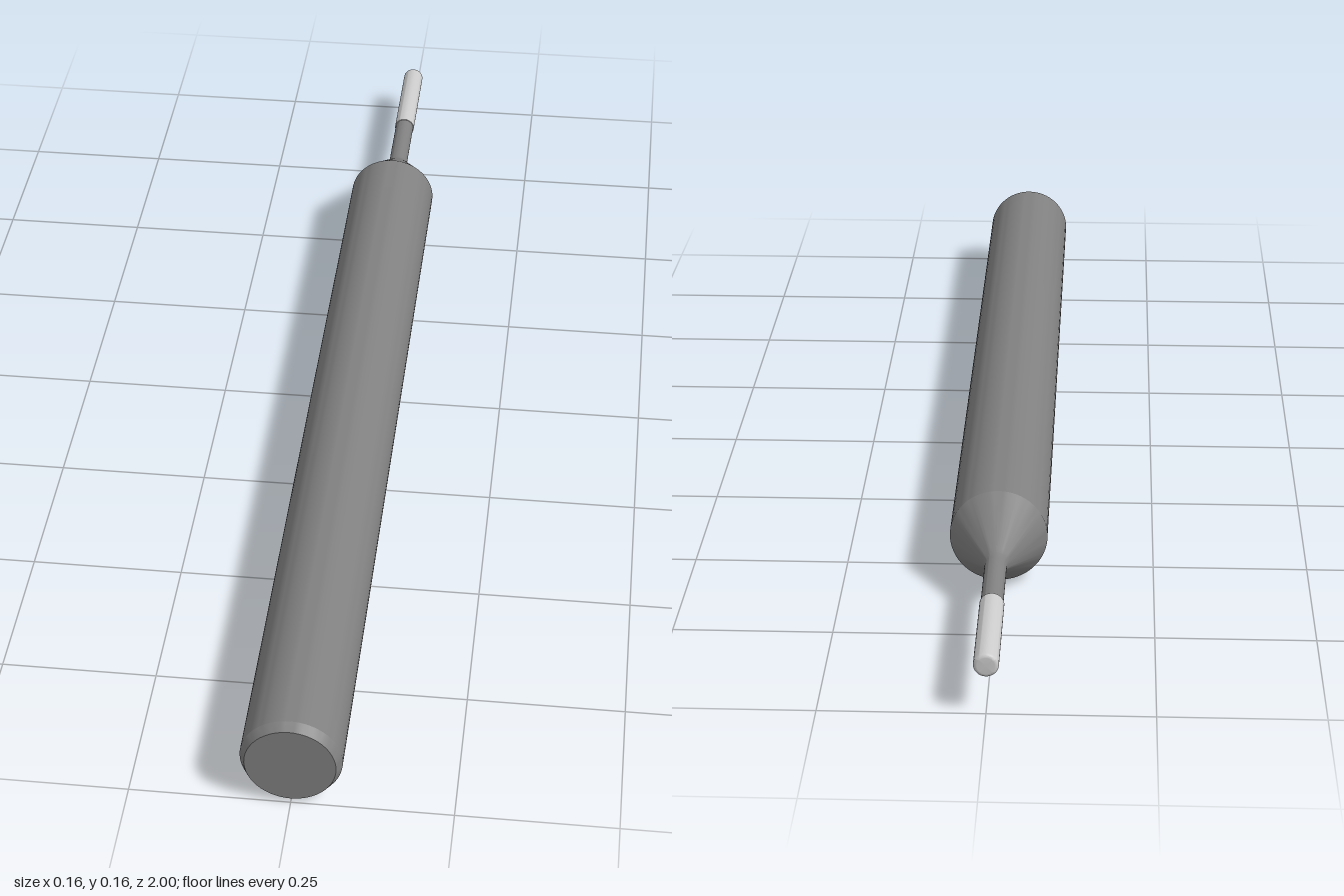
import * as THREE from 'three';
import { toCreasedNormals } from 'three/addons/utils/BufferGeometryUtils.js';

const R = 0.0785;      // shank radius
const NECK = 0.0175;   // neck radius
const TIP = 0.019;     // cutting end radius

// Turned part from [radius, z] points, running from the front (+z) to the back (-z)
function turned(name, profile, color) {
  const points = profile.map(([r, z]) => new THREE.Vector2(r, -z));
  const geometry = toCreasedNormals(new THREE.LatheGeometry(points, 64), 0.3);
  geometry.rotateX(-Math.PI / 2);
  const mesh = new THREE.Mesh(geometry, new THREE.MeshStandardMaterial({ color }));
  mesh.name = name;
  mesh.position.y = R;
  return mesh;
}

export function createModel() {
  const group = new THREE.Group();
  group.name = 'endMill';

  // Shank with chamfered end, conical shoulder and thin neck
  group.add(turned('shank', [
    [0, 1], [0.07, 1], [R, 0.985], [R, -0.555],
    [0.0235, -0.649], [0.0195, -0.657], [NECK, -0.667],
    [NECK, -0.8],
  ], 0x808080));

  // Cutting end, slightly wider than the neck, with a rounded corner
  const corner = 0.006;
  const tip = [[0, -0.8], [TIP, -0.8]];
  for (let i = 0; i <= 6; i++) {
    const a = (i / 6) * Math.PI / 2;
    tip.push([TIP - corner + corner * Math.cos(a), -1 + corner - corner * Math.sin(a)]);
  }
  tip.push([0, -1]);
  group.add(turned('cuttingEnd', tip, 0xcccccc));

  return group;
}
